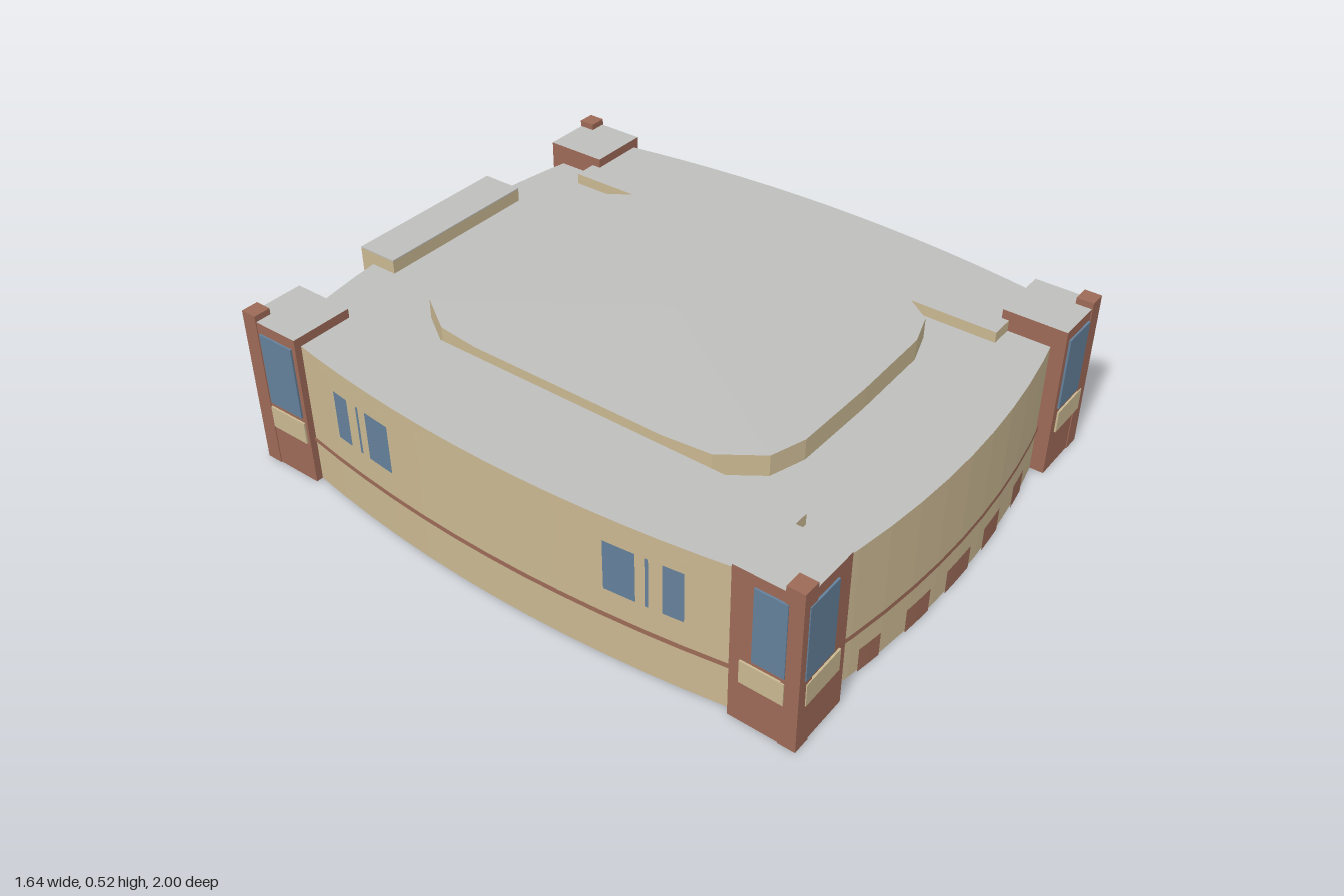
import * as THREE from 'three';

const paint = (name, color) => {
  const m = new THREE.MeshStandardMaterial({ color, side: THREE.DoubleSide });
  m.name = name;
  return m;
};

export function createModel() {
  const group = new THREE.Group();
  const tan = paint('tan stone', 0xc9b791);
  const brick = paint('red brick', 0x9c6a57);
  const glass = paint('blue glass', 0x64809a);
  const grey = paint('grey roof', 0xbebebc);

  const add = (name, geo, mat, parent = group) => {
    const m = new THREE.Mesh(geo, mat);
    m.name = name;
    parent.add(m);
    return m;
  };
  // box given by its limits
  const box = (name, mat, x0, x1, y0, y1, z0, z1, parent) => {
    const g = new THREE.BoxGeometry(Math.abs(x1 - x0), y1 - y0, Math.abs(z1 - z0));
    g.translate((x0 + x1) / 2, (y0 + y1) / 2, (z0 + z1) / 2);
    return add(name, g, mat, parent);
  };
  const build = (pos) => {
    const g = new THREE.BufferGeometry();
    g.setAttribute('position', new THREE.Float32BufferAttribute(pos, 3));
    g.computeVertexNormals();
    return g;
  };
  // upright faceted wall along a path of [x, z]
  const ribbon = (pts, y0, y1) => {
    const pos = [];
    for (let i = 0; i < pts.length - 1; i++) {
      const [ax, az] = pts[i], [bx, bz] = pts[i + 1];
      pos.push(ax, y0, az, bx, y0, bz, bx, y1, bz, ax, y0, az, bx, y1, bz, ax, y1, az);
    }
    return build(pos);
  };
  // flat horizontal sheet from an outline of [x, z]
  const sheet = (pts, y) => {
    const s = new THREE.Shape(pts.map(([x, z]) => new THREE.Vector2(x, -z)));
    return new THREE.ShapeGeometry(s).rotateX(-Math.PI / 2).translate(0, y, 0);
  };

  // bowed plan of the four walls; d pushes a path outward
  const sideX = (z) => 0.815 - 0.065 * ((z - 0.03) / 0.75) ** 2;
  const frontZ = (x) => 0.99 - 0.06 * (x / 0.57) ** 2;
  const backZ = (x) => -0.935 + 0.055 * (x / 0.57) ** 2;
  const steps = (a, b, n, f) => Array.from({ length: n + 1 }, (_, i) => f(a + ((b - a) * i) / n));
  const front = (a, b, n, d = 0) => steps(a, b, n, (x) => [x, frontZ(x) + d]);
  const back = (a, b, n, d = 0) => steps(a, b, n, (x) => [x, backZ(x) - d]);
  const side = (s, a, b, n, d = 0) => steps(a, b, n, (z) => [s * (sideX(z) + d), z]);
  const ring = (d) => {
    const pts = [
      ...front(-0.73, 0.73, 12, d), ...side(1, 0.88, -0.84, 14, d),
      ...back(0.73, -0.73, 12, d), ...side(-1, -0.84, 0.88, 14, d),
    ];
    return [...pts, pts[0]];
  };

  // main hall
  add('outerWall', ribbon(ring(0), 0, 0.44), tan);
  add('mainRoof', sheet(ring(0).slice(0, -1), 0.44), grey);
  add('brickBand', ribbon(ring(0.005), 0.143, 0.159), brick);

  // raised side wings, with windows set on the bowed walls
  const windowSpans = [[0.64, 0.58], [0.54, 0.53], [0.5, 0.405], [-0.34, -0.435], [-0.465, -0.475], [-0.515, -0.575]];
  for (const s of [-1, 1]) {
    const wing = [[s * 0.49, 0.795], ...side(s, 0.795, -0.75, 14), [s * 0.49, -0.75]];
    add('wingWall', ribbon([...wing, wing[0]], 0.44, 0.475), tan);
    add('wingRoof', sheet(wing, 0.475), grey);
    for (const [a, b] of windowSpans) {
      add('sideWindow', ribbon(side(s, a, b, 2, 0.004), 0.24, 0.4), glass);
    }
  }

  // front doors
  for (const [a, b] of [[-0.455, -0.37], [-0.26, -0.15], [-0.065, 0.065], [0.15, 0.255], [0.365, 0.45]]) {
    add('frontDoor', ribbon(front(a, b, 2, 0.004), 0, 0.08), brick);
  }

  // raised centre roof, rising slightly to its middle
  const half = [
    [0, 0.66], [0.28, 0.655], [0.39, 0.62], [0.475, 0.5], [0.49, 0.35],
    [0.49, -0.3], [0.475, -0.44], [0.39, -0.57], [0.28, -0.605], [0, -0.61],
  ];
  const crown = [...half, ...half.slice(1, -1).reverse().map(([x, z]) => [-x, z]), half[0]];
  add('centreRoofWall', ribbon(crown, 0.44, 0.506), tan);
  const cap = [];
  for (let i = 0; i < crown.length - 1; i++) {
    const [ax, az] = crown[i], [bx, bz] = crown[i + 1];
    cap.push(ax, 0.506, az, bx, 0.506, bz, 0, 0.516, 0.025);
  }
  add('centreRoof', build(cap), grey);

  // corner towers, open underneath
  const tower = (sx, z0, z1) => {
    const t = new THREE.Group();
    t.name = 'cornerTower';
    group.add(t);
    const sz = Math.sign(z0);
    const x0 = 0.567 * sx, x1 = 0.772 * sx;
    const plan = [[x0, z0], [x1, z0], [x1, z1], [x0, z1]];
    add('towerWall', ribbon([...plan, plan[0]], 0, 0.505), brick, t);
    add('towerRoof', sheet(plan, 0.505), grey, t);
    box('cornerPost', brick, sx * 0.72, sx * 0.775, 0, 0.525, z1 - sz * 0.05, z1 + sz * 0.003, t);
    // end face: window sits toward the same hand on every face
    const lo = Math.min(x0 * sz, x1 * sz);
    box('towerWindow', glass, sz * (lo + 0.02), sz * (lo + 0.145), 0.23, 0.47, z1, z1 + sz * 0.006, t);
    box('towerPanel', tan, sz * (lo + 0.027), sz * (lo + 0.177), 0.14, 0.213, z1, z1 + sz * 0.006, t);
    // side face
    const [wa, wb, pa, pb] = sz > 0 ? [0.84, 0.935, 0.805, 0.935] : [-0.865, -0.735, -0.87, -0.73];
    box('towerWindow', glass, x1, x1 + sx * 0.006, 0.23, 0.47, wa, wb, t);
    box('towerPanel', tan, x1, x1 + sx * 0.006, 0.14, 0.213, pa, pb, t);
  };
  for (const s of [-1, 1]) {
    tower(s, 0.772, 0.974);
    tower(s, -0.72, -0.925);
  }

  // rear entrance block
  box('rearBlock', tan, -0.283, 0.283, 0, 0.44, -0.967, -0.9);
  box('rearParapet', tan, -0.283, 0.283, 0.44, 0.482, -0.967, -0.83);
  box('rearRoof', grey, -0.283, 0.283, 0.482, 0.486, -0.967, -0.83);
  box('rearLedge', tan, -0.31, 0.31, 0.213, 0.226, -1, -0.96);
  box('rearSign', brick, -0.13, 0.13, 0.445, 0.472, -0.977, -0.967);
  for (const x of [-0.172, -0.057, 0.057, 0.172]) {
    box('rearWindow', glass, x - 0.049, x + 0.049, 0.25, 0.44, -0.972, -0.967);
  }
  return group;
}
